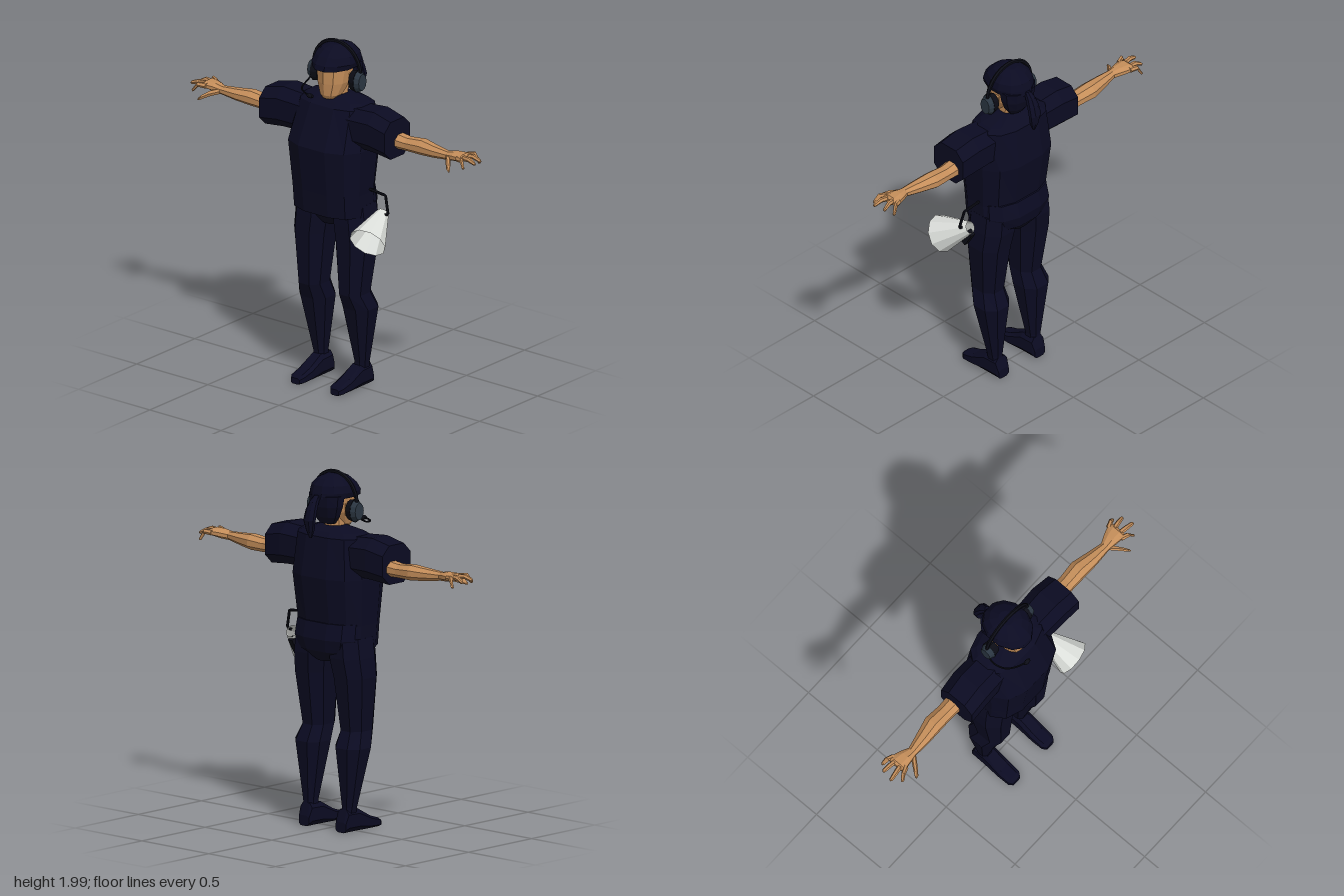
import * as THREE from 'three';

const mat = (name, color, extra = {}) => {
  const m = new THREE.MeshStandardMaterial({ color, ...extra });
  m.name = name;
  return m;
};

// Flat-faced copy of a geometry
function flat(geo) {
  const g = geo.index ? geo.toNonIndexed() : geo;
  g.computeVertexNormals();
  return g;
}

// Closed loft along y; each section is [y, centreX, centreZ, radiusX, radiusZ]
function loft(sections, n = 8, power = 1) {
  const pos = [], index = [];
  const bend = v => Math.sign(v) * Math.pow(Math.abs(v), power);
  for (const [y, cx, cz, rx, rz] of sections) {
    for (let k = 0; k < n; k++) {
      const a = ((k + 0.5) / n) * Math.PI * 2;
      pos.push(cx + rx * bend(Math.cos(a)), y, cz + rz * bend(Math.sin(a)));
    }
  }
  const last = sections.length - 1;
  for (let i = 0; i < last; i++) {
    for (let k = 0; k < n; k++) {
      const a = i * n + k, b = i * n + (k + 1) % n;
      index.push(a, a + n, b + n, a, b + n, b);
    }
  }
  for (let k = 1; k < n - 1; k++) {
    index.push(0, k, k + 1, last * n, last * n + k + 1, last * n + k);
  }
  const g = new THREE.BufferGeometry();
  g.setAttribute('position', new THREE.Float32BufferAttribute(pos, 3));
  g.setIndex(index);
  return flat(g);
}

// Loft along x: sections are [x, centreY, centreZ, radiusY, radiusZ]
const loftX = (s, n, p) =>
  loft(s.map(([x, cy, cz, ry, rz]) => [x, -cy, cz, ry, rz]), n, p).rotateZ(-Math.PI / 2);
// Loft along z: sections are [z, centreX, centreY, radiusX, radiusY]
const loftZ = (s, n, p) =>
  loft(s.map(([z, cx, cy, rx, ry]) => [z, cx, -cy, rx, ry]), n, p).rotateX(Math.PI / 2);

// Mirror across x = 0, keeping the faces outward
function mirror(geo) {
  const g = geo.clone(), p = g.attributes.position.array;
  for (let i = 0; i < p.length; i += 9) {
    for (let c = 0; c < 3; c++) {
      const t = p[i + 3 + c];
      p[i + 3 + c] = p[i + 6 + c];
      p[i + 6 + c] = t;
    }
    for (let v = 0; v < 9; v += 3) p[i + v] *= -1;
  }
  g.computeVertexNormals();
  return g;
}

function tube(points, radius, curved = false) {
  const v = points.map(p => new THREE.Vector3(...p));
  const path = curved ? new THREE.CatmullRomCurve3(v) : new THREE.CurvePath();
  if (!curved) for (let i = 1; i < v.length; i++) path.add(new THREE.LineCurve3(v[i - 1], v[i]));
  return flat(new THREE.TubeGeometry(path, 24, radius, 6));
}

export function createModel() {
  const model = new THREE.Group();
  const navy = mat('navy cloth', 0x0b0b22);
  const skin = mat('skin', 0xc58e5a);
  const black = mat('black plastic', 0x0c0d16);
  const slate = mat('slate ear cup', 0x2b3642);
  const white = mat('megaphone white', 0xdcdfdb, { side: THREE.DoubleSide });

  const add = (name, geo, material, parent = model) => {
    const m = new THREE.Mesh(geo, material);
    m.name = name;
    parent.add(m);
    return m;
  };
  const pair = (name, geo, material) => {
    add(name + 'Left', geo, material);
    add(name + 'Right', mirror(geo), material);
  };

  // Shirt and hips
  add('shirt', loft([
    [1.02, 0, 0.02, 0.232, 0.17], [1.15, 0, 0.03, 0.235, 0.17],
    [1.41, 0, 0.027, 0.253, 0.203], [1.635, 0, -0.005, 0.225, 0.14],
    [1.66, 0, -0.01, 0.19, 0.105], [1.685, 0, -0.01, 0.075, 0.055],
  ], 12, 0.75), navy);
  add('hips', loft([
    [0.94, 0, -0.01, 0.06, 0.1], [1.0, 0, -0.015, 0.19, 0.14],
    [1.07, 0, -0.02, 0.225, 0.15], [1.16, 0, -0.01, 0.22, 0.14],
  ], 12, 0.75), navy);

  // Sleeves
  pair('sleeve', loftX([
    [0.15, 1.535, 0.015, 0.115, 0.115], [0.32, 1.54, 0.015, 0.123, 0.122],
    [0.44, 1.52, 0.022, 0.115, 0.118],
  ], 8, 0.75), navy);

  // Trouser legs
  pair('leg', loft([
    [0.1, 0.142, -0.04, 0.037, 0.045], [0.14, 0.145, -0.037, 0.04, 0.045],
    [0.47, 0.15, -0.015, 0.098, 0.1], [0.56, 0.142, 0.023, 0.08, 0.097],
    [0.86, 0.145, 0.008, 0.112, 0.127], [0.97, 0.132, 0, 0.118, 0.137],
    [1.08, 0.125, 0, 0.11, 0.135],
  ], 8, 0.85), navy);

  // Shoes
  pair('shoe', loftZ([
    [-0.1, 0.138, 0.03, 0.04, 0.03], [-0.08, 0.138, 0.065, 0.046, 0.065],
    [0.005, 0.138, 0.064, 0.048, 0.064], [0.1, 0.138, 0.037, 0.05, 0.037],
    [0.17, 0.138, 0.025, 0.047, 0.025], [0.192, 0.138, 0.018, 0.03, 0.018],
  ], 8, 0.6), navy);

  // Bare arms and palms
  pair('arm', loftX([
    [0.4, 1.5, -0.005, 0.048, 0.056], [0.5, 1.495, -0.007, 0.04, 0.05],
    [0.6, 1.5, -0.01, 0.045, 0.055], [0.69, 1.5, 0.002, 0.036, 0.044],
    [0.79, 1.503, 0.012, 0.025, 0.029], [0.84, 1.51, 0.005, 0.027, 0.045],
    [0.9, 1.515, 0, 0.022, 0.06], [0.915, 1.512, 0, 0.014, 0.055],
  ], 8), skin);

  // Fingers: base z, middle x and z, tip x, y and z
  const fingers = [
    [0.046, 0.925, 0.065, 0.955, 1.485, 0.078], [0.018, 0.95, 0.03, 0.998, 1.505, 0.034],
    [-0.014, 0.94, -0.023, 0.985, 1.5, -0.03], [-0.042, 0.92, -0.058, 0.95, 1.475, -0.068],
  ];
  fingers.forEach(([z0, x1, z1, x2, y2, z2], i) => pair('finger' + (i + 1), loftX([
    [0.88, 1.515, z0, 0.016, 0.016], [x1, 1.52, z1, 0.014, 0.014],
    [x2 - 0.008, y2 + 0.003, z2, 0.011, 0.011], [x2, y2, z2, 0.005, 0.005],
  ], 6), skin));
  pair('thumb', loftX([
    [0.795, 1.5, 0.025, 0.017, 0.018], [0.835, 1.49, 0.068, 0.018, 0.022],
    [0.865, 1.472, 0.104, 0.014, 0.017], [0.88, 1.46, 0.117, 0.007, 0.007],
  ], 6), skin);

  // Head and neck
  add('neck', loft([[1.6, 0, -0.015, 0.075, 0.07], [1.68, 0, -0.005, 0.06, 0.055],
    [1.78, 0, -0.01, 0.06, 0.06]], 8), skin);
  add('face', loft([
    [1.668, 0, 0.065, 0.035, 0.035], [1.69, 0, 0.048, 0.06, 0.064],
    [1.76, 0, 0.02, 0.086, 0.1], [1.84, 0, 0.005, 0.096, 0.118],
    [1.9, 0, 0, 0.09, 0.105],
  ], 10, 0.9), skin);
  pair('ear', loft([[1.745, 0.092, 0, 0.012, 0.014], [1.775, 0.102, -0.002, 0.014, 0.025],
    [1.81, 0.1, -0.004, 0.012, 0.022]], 6), skin);

  // Cap, back hair and ponytail
  add('cap', loft([
    [1.845, 0, 0.003, 0.118, 0.156], [1.875, 0, 0.003, 0.128, 0.15],
    [1.915, 0, -0.005, 0.117, 0.13], [1.947, 0, -0.008, 0.085, 0.095],
    [1.967, 0, -0.005, 0.04, 0.045],
  ], 12), navy);
  add('backHair', loft([
    [1.7, 0, -0.06, 0.055, 0.03], [1.74, 0, -0.065, 0.085, 0.055],
    [1.8, 0, -0.068, 0.108, 0.075], [1.86, 0, -0.065, 0.115, 0.085],
  ], 10), navy);
  add('ponytail', loft([
    [1.635, 0, -0.193, 0.008, 0.006], [1.68, 0, -0.196, 0.027, 0.022],
    [1.735, 0, -0.202, 0.04, 0.026], [1.79, 0, -0.186, 0.036, 0.027],
    [1.835, 0, -0.163, 0.027, 0.028], [1.865, 0, -0.137, 0.016, 0.02],
  ], 8), navy);

  // Headset
  const headset = new THREE.Group();
  headset.name = 'headset';
  model.add(headset);
  add('headband', flat(new THREE.TorusGeometry(0.164, 0.011, 6, 18, Math.PI)), black, headset)
    .position.y = 1.813;
  for (const s of [-1, 1]) {
    const disc = (name, r0, r1, w, x, m) => {
      const g = flat(new THREE.CylinderGeometry(r1, r0, w, 12).rotateZ(-s * Math.PI / 2).scale(1, 1.4, 1));
      add(name, g, m, headset).position.set(s * x, 1.777, 0.003);
    };
    disc('earPad', 0.04, 0.047, 0.04, 0.132, black);
    disc('earCup', 0.045, 0.034, 0.03, 0.166, slate);
  }
  add('micBoom', tube([[-0.168, 1.74, 0.01], [-0.172, 1.712, 0.06], [-0.15, 1.703, 0.12],
    [-0.1, 1.7, 0.16], [-0.05, 1.699, 0.18]], 0.005, true), black, headset);
  const mic = add('microphone', flat(new THREE.SphereGeometry(0.013, 8, 6).scale(1.9, 1, 1)), black, headset);
  mic.position.set(-0.042, 1.699, 0.182);

  // Megaphone hanging at the left hip
  const megaphone = new THREE.Group();
  megaphone.name = 'megaphone';
  model.add(megaphone);
  const mouth = new THREE.Vector3(0.35, 0.932, 0.168), rear = new THREE.Vector3(0.31, 1.045, -0.015);
  const axis = rear.clone().sub(mouth);
  const horn = add('horn', flat(new THREE.CylinderGeometry(0.034, 0.106, axis.length(), 10, 1, true)),
    white, megaphone);
  horn.position.copy(mouth).add(rear).multiplyScalar(0.5);
  horn.quaternion.setFromUnitVectors(new THREE.Vector3(0, 1, 0), axis.normalize());
  const grip = add('grip', flat(new THREE.BoxGeometry(0.03, 0.1, 0.04)), black, megaphone);
  grip.position.set(0.305, 0.965, 0.01);
  grip.rotation.x = -0.55;
  add('strap', tube([[0.22, 1.168, 0], [0.34, 1.157, 0], [0.368, 1.055, 0.012],
    [0.33, 1.045, 0.012]], 0.008), black, megaphone);

  return model;
}
